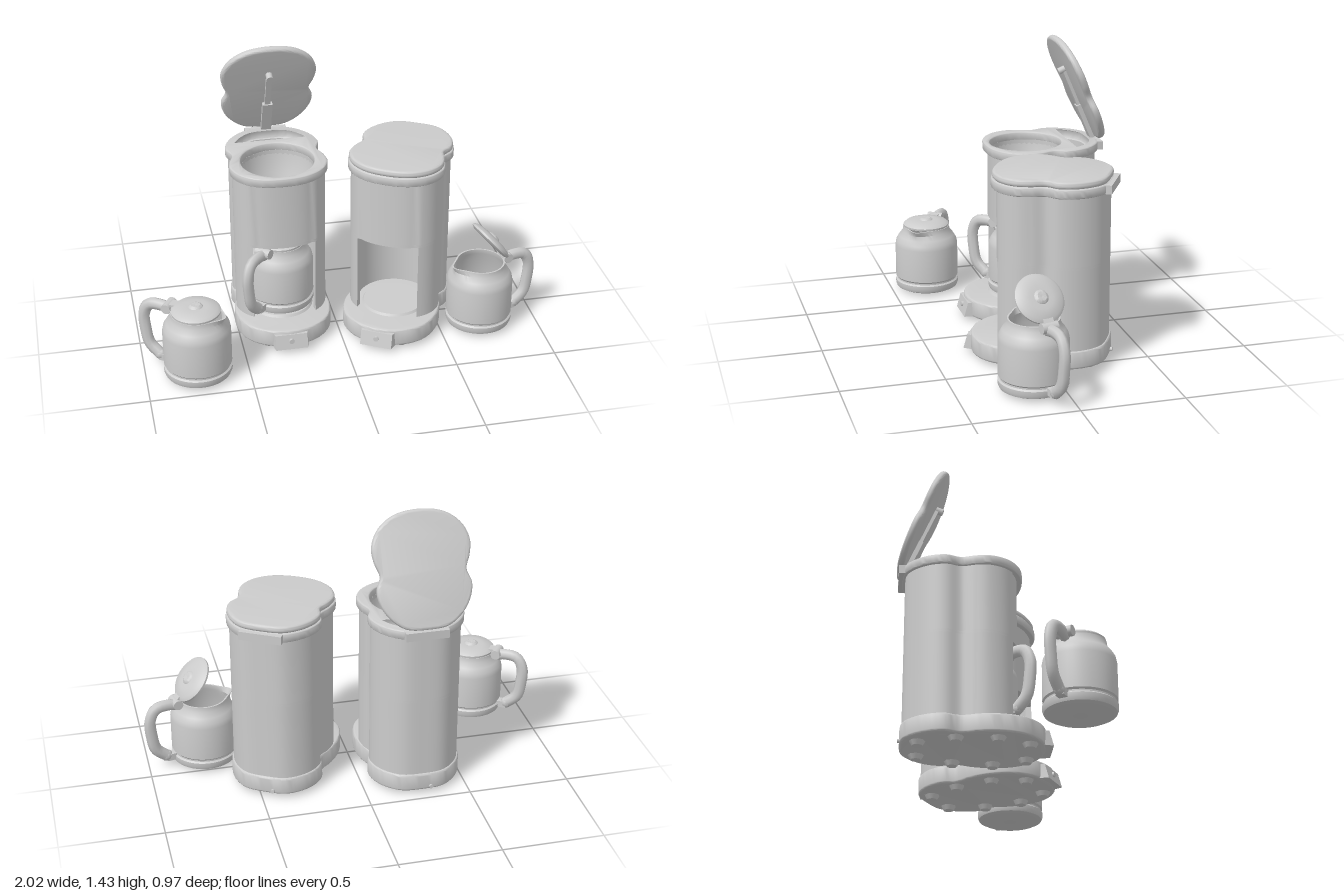
import * as THREE from 'three';
import { toCreasedNormals } from 'three/addons/utils/BufferGeometryUtils.js';

const grey = new THREE.MeshStandardMaterial({ color: 0xcccccc, side: THREE.DoubleSide });

function part(parent, name, geometry, x = 0, y = 0, z = 0) {
  const mesh = new THREE.Mesh(geometry, grey);
  mesh.name = name;
  mesh.position.set(x, y, z);
  parent.add(mesh);
  return mesh;
}

function group(parent, name) {
  const g = new THREE.Group();
  g.name = name;
  parent.add(g);
  return g;
}

// Closed plan outline from half points [x, z], running from front centre to back centre
function outline(half) {
  const mirrored = half.slice(1, -1).reverse().map(([x, z]) => [-x, z]);
  const pts = [...half, ...mirrored].map(([x, z]) => new THREE.Vector3(x, z, 0));
  return new THREE.CatmullRomCurve3(pts, true).getPoints(96).slice(0, -1)
    .map(p => new THREE.Vector2(p.x, p.y));
}

const resize = (pts, s, cz = -0.06) => pts.map(p => new THREE.Vector2(p.x * s, cz + (p.y - cz) * s));

// Horizontal slab from a plan in (x, z), between two heights
function slab(pts, y0, y1, bevel = 0, holes = []) {
  const shape = new THREE.Shape(pts);
  holes.forEach(h => shape.holes.push(new THREE.Path(h)));
  const geo = new THREE.ExtrudeGeometry(shape, {
    depth: y1 - y0 - 2 * bevel, bevelEnabled: bevel > 0, bevelThickness: bevel,
    bevelSize: bevel, bevelOffset: -bevel, bevelSegments: 4,
  });
  geo.rotateX(Math.PI / 2).translate(0, y1 - bevel, 0);
  return toCreasedNormals(geo, 0.6);
}

function lathe(profile, segments = 40) {
  const geo = new THREE.LatheGeometry(profile.map(([r, y]) => new THREE.Vector2(r, y)), segments);
  return toCreasedNormals(geo, 0.6);
}

function arc(cx, cz, r, a0, a1, n = 40) {
  return Array.from({ length: n + 1 }, (_, i) => {
    const a = a0 + (a1 - a0) * i / n;
    return new THREE.Vector2(cx + r * Math.cos(a), cz + r * Math.sin(a));
  });
}

const rear = [[0.207, -0.075], [0.228, -0.14], [0.215, -0.21], [0.17, -0.28], [0.1, -0.33], [0, -0.34]];
const lidPlan = outline([[0, 0.22], [0.12, 0.2], [0.2, 0.14], [0.235, 0.06], [0.228, -0.01], ...rear]);
const basePlan = outline([[0, 0.335], [0.13, 0.3], [0.21, 0.22], [0.24, 0.11], [0.232, 0.01], ...rear]);

// Jug with handle and hinged lid; the handle points to +x
function makeJug(parent, name, lidAngle) {
  const jug = group(parent, name);

  const body = new THREE.LatheGeometry([
    [0, 0.01], [0.14, 0.01], [0.16, 0.02], [0.166, 0.035], [0.166, 0.055], [0.158, 0.062], [0.158, 0.07],
    [0.165, 0.078], [0.165, 0.25], [0.16, 0.275], [0.145, 0.3], [0.125, 0.325], [0.122, 0.35],
    [0.114, 0.35], [0.116, 0.325], [0.15, 0.27], [0.153, 0.08], [0, 0.07],
  ].map(([r, y]) => new THREE.Vector2(r, y)), 48);
  // Pull the lip out into a spout opposite the handle
  const pos = body.attributes.position;
  for (let i = 0; i < pos.count; i++) {
    const x = pos.getX(i), y = pos.getY(i), r = Math.hypot(x, pos.getZ(i));
    if (y > 0.305 && x < 0) pos.setX(i, x - 0.035 * Math.pow(-x / r, 14) * (y - 0.3) / 0.05);
  }
  part(jug, 'jugBody', toCreasedNormals(body, 0.6));

  const grip = new THREE.CatmullRomCurve3([
    [0.135, 0.335], [0.19, 0.345], [0.25, 0.335], [0.28, 0.28], [0.277, 0.19], [0.258, 0.11], [0.205, 0.06],
  ].map(([x, y]) => new THREE.Vector3(x, y, 0)));
  const handle = new THREE.TubeGeometry(grip, 20, 0.03, 8, false);
  part(jug, 'handle', toCreasedNormals(handle, 0.9)).scale.z = 0.85;
  part(jug, 'handleFoot', new THREE.SphereGeometry(0.03, 12, 8), 0.205, 0.06, 0).scale.z = 0.85;
  part(jug, 'handleBracket', new THREE.BoxGeometry(0.06, 0.035, 0.04), 0.175, 0.052, 0);
  const pin = part(jug, 'hingePin', new THREE.CylinderGeometry(0.025, 0.025, 0.08, 14), 0.142, 0.35, 0);
  pin.rotation.x = Math.PI / 2;

  // Lid swings about the hinge at the top of the handle
  const lid = group(jug, 'jugLid');
  lid.position.set(0.135, 0.35, 0);
  lid.rotation.z = -lidAngle;
  part(lid, 'lidDisc', lathe([
    [0, -0.008], [0.1, -0.008], [0.119, 0], [0.12, 0.01], [0.105, 0.022], [0.06, 0.03],
    [0.035, 0.03], [0.03, 0.036], [0.022, 0.04], [0.008, 0.038], [0, 0.034],
  ]), -0.135, 0, 0);
  part(lid, 'lidTab', new THREE.BoxGeometry(0.05, 0.025, 0.05), -0.015, 0.01, 0);
  return jug;
}

// Coffee machine: front faces +z
function makeMachine(parent, name, lidAngle) {
  const machine = group(parent, name);

  // Base, nose panel with switch, warming plate and feet
  part(machine, 'base', slab(basePlan, 0.022, 0.112, 0.012));
  const nose = new THREE.BoxGeometry(0.2, 0.072, 0.1);
  const np = nose.attributes.position;
  for (let i = 0; i < np.count; i++) {
    if (np.getZ(i) > 0) np.setXYZ(i, np.getX(i) * 0.8, np.getY(i), np.getY(i) > 0 ? 0.035 : 0.055);
  }
  nose.computeVertexNormals();
  part(machine, 'nosePanel', nose, 0, 0.06, 0.305);
  const button = part(machine, 'switch', new THREE.CylinderGeometry(0.013, 0.013, 0.015, 12), 0, 0.065, 0.35);
  button.rotation.x = Math.PI / 2;
  part(machine, 'warmingPlate', new THREE.CylinderGeometry(0.15, 0.16, 0.014, 40), 0, 0.116, 0.05);
  const feet = [[0.1, 0.25], [0.17, 0.1], [0.16, -0.09], [0.09, -0.26]];
  for (const [x, z] of feet) for (const s of [-1, 1]) {
    part(machine, 'foot', new THREE.CylinderGeometry(0.04, 0.025, 0.026, 8), s * x, 0.013, z);
  }

  // Lower tower with the jug bay cut into the front
  const bodyPlan = resize(lidPlan, 0.965);
  const r = 0.185, cz = 0.03, edge = Math.acos(0.15 / r);
  const bay = arc(0, cz, r, Math.PI - edge, 2 * Math.PI + edge);
  const walls = bodyPlan.filter(p => !(p.y > 0.05 && Math.abs(p.x) < 0.15));
  part(machine, 'tower', slab([...walls, ...bay], 0.1, 0.512));
  part(machine, 'rearSkirt', slab(bodyPlan.filter(p => p.y < -0.08), 0.025, 0.11));

  // Upper housing with its front panel set back between the columns
  const upperPlan = bodyPlan.map(p =>
    p.y > 0.05 && Math.abs(p.x) < 0.15 ? new THREE.Vector2(p.x, p.y - 0.01) : p);
  const bowlHole = arc(0, 0.015, 0.18, 0, 2 * Math.PI, 48).slice(0, -1);
  const tankHole = resize(lidPlan, 0.88, -0.12).filter(p => p.y < -0.19);
  const holes = [bowlHole, tankHole];
  part(machine, 'upperHousing', slab(upperPlan, 0.525, 0.865, 0, holes));
  part(machine, 'housingFloor', slab(upperPlan, 0.51, 0.526));
  part(machine, 'rim', slab(resize(lidPlan, 1.02), 0.858, 0.905, 0.01, holes));

  // Filter basket, drip nozzle and cord outlet
  part(machine, 'filterBasket', lathe([
    [0.184, 0.885], [0.17, 0.74], [0.115, 0.64], [0.11, 0.62], [0.025, 0.545], [0.02, 0.56], [0.012, 0.56], [0, 0.53],
  ]), 0, 0, 0.015);
  part(machine, 'dripNozzle', new THREE.CylinderGeometry(0.05, 0.04, 0.014, 20), 0, 0.505, 0.03);
  const cord = part(machine, 'cordOutlet', new THREE.CylinderGeometry(0.01, 0.01, 0.03, 10), -0.04, 0.04, -0.335);
  cord.rotation.x = Math.PI / 2;

  // Hinge and lid
  part(machine, 'hingeBlock', new THREE.BoxGeometry(0.21, 0.042, 0.035), 0, 0.882, -0.345);
  const lid = group(machine, 'lid');
  lid.position.set(0, 0.902, -0.345);
  lid.rotation.x = -lidAngle;
  part(lid, 'lidPanel', slab(lidPlan, 0, 0.035, 0.014), 0, 0, 0.345);
  if (lidAngle > 0) {
    // Swivel arm that carries water to the basket
    part(lid, 'armBase', new THREE.BoxGeometry(0.05, 0.024, 0.19), 0, -0.01, 0.1);
    part(lid, 'arm', new THREE.BoxGeometry(0.028, 0.016, 0.22), 0, -0.008, 0.29);
    part(lid, 'armOutlet', new THREE.CylinderGeometry(0.017, 0.017, 0.035, 12), 0, -0.018, 0.395);
  }
  return machine;
}

export function createModel() {
  const model = new THREE.Group();
  model.name = 'coffeeMakers';

  const openMachine = makeMachine(model, 'openMachine', 1.165);
  openMachine.position.set(-0.27, 0, -0.12);
  const closedMachine = makeMachine(model, 'closedMachine', 0);
  closedMachine.position.set(0.315, 0, -0.01);
  closedMachine.rotation.y = -0.52;

  // Jugs: position and handle direction
  const jugs = [
    ['closedJug', 0, [-0.745, 0, 0.31], [-0.25, -0.165]],
    ['openJug', 0.87, [0.71, 0, 0.135], [0.285, -0.065]],
    ['jugInMachine', 0, [-0.27, 0.113, -0.08], [-0.19, 0.2]],
  ];
  for (const [name, angle, p, [dx, dz]] of jugs) {
    const jug = makeJug(model, name, angle);
    jug.position.set(...p);
    jug.rotation.y = Math.atan2(-dz, dx);
  }
  return model;
}
